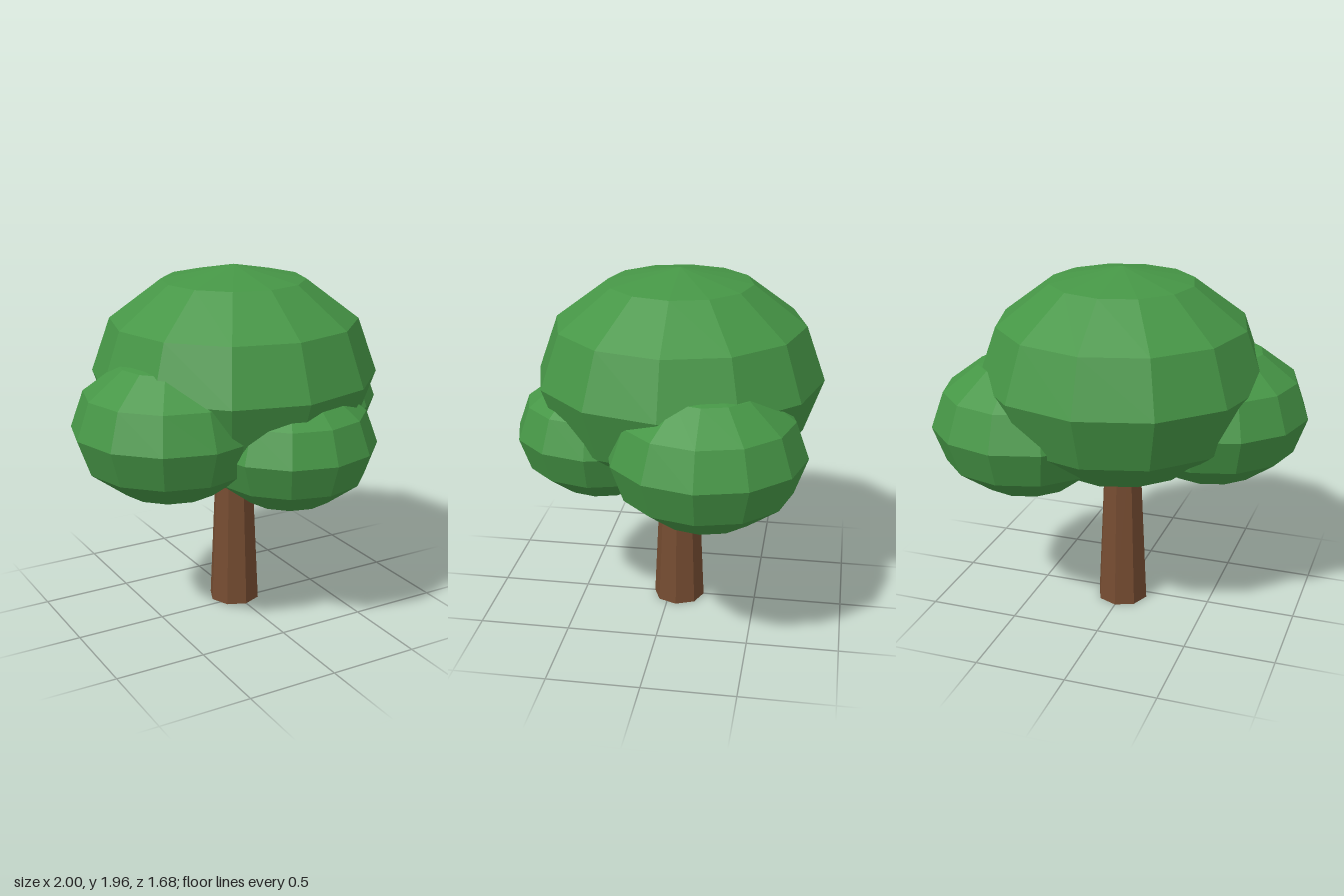
import * as THREE from 'three';

export function createModel() {
  const tree = new THREE.Group();
  tree.name = 'tree';

  const leafMaterial = new THREE.MeshStandardMaterial({ color: 0x469646, flatShading: true });
  const barkMaterial = new THREE.MeshStandardMaterial({ color: 0x754c31, flatShading: true });

  // Tapered eight-sided trunk, its top buried in the crown
  const trunkHeight = 0.98;
  const trunk = new THREE.Mesh(new THREE.CylinderGeometry(0.1, 0.145, trunkHeight, 8), barkMaterial);
  trunk.name = 'trunk';
  trunk.position.set(0, trunkHeight / 2, -0.055);
  tree.add(trunk);

  // Foliage: faceted spheres squashed to three quarters of their height
  const foliage = new THREE.Group();
  foliage.name = 'foliage';
  const clumps = [
    { name: 'mainCrown', radius: 0.787, position: [0, 1.37, -0.055] },
    { name: 'rightClump', radius: 0.525, position: [-0.475, 1.16, 0.1] },
    { name: 'leftClump', radius: 0.525, position: [0.475, 1.108, -0.265] },
    { name: 'frontClump', radius: 0.473, position: [0.103, 1.057, 0.365] },
  ];
  for (const { name, radius, position } of clumps) {
    const clump = new THREE.Mesh(new THREE.SphereGeometry(radius, 12, 6), leafMaterial);
    clump.name = name;
    clump.scale.y = 0.75;
    clump.position.set(...position);
    foliage.add(clump);
  }
  tree.add(foliage);

  return tree;
}
